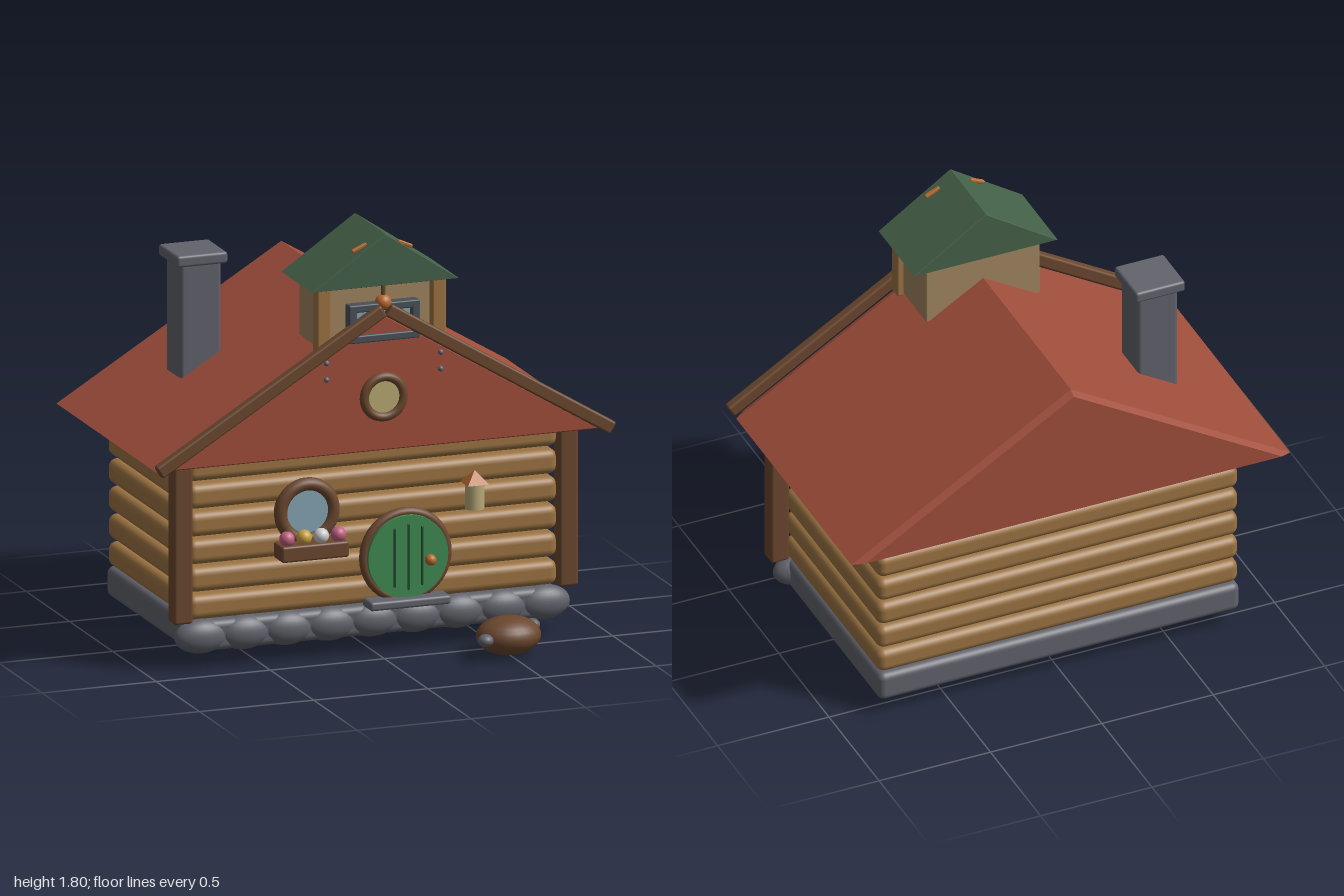
import * as THREE from 'three';
import { RoundedBoxGeometry } from 'three/addons/geometries/RoundedBoxGeometry.js';

const mats = {};
function mat(color) {
  return mats[color] ??= new THREE.MeshStandardMaterial({ color });
}
const RED = 0xa04e3b, GREEN = 0x456149, LOG = 0x9c7443, BEAM = 0x6b472e, STONE = 0x62636c,
  ORANGE = 0xb5692f, TAN = 0xa08560, SLATE = 0x4a5058, GLASS = 0x86a5b5;

export function createModel() {
  const model = new THREE.Group();

  function add(name, geo, color, x = 0, y = 0, z = 0) {
    const m = new THREE.Mesh(geo, mat(color));
    m.name = name;
    m.position.set(x, y, z);
    model.add(m);
    return m;
  }
  // Rounded box given by its extents on each axis
  function block(name, color, [x0, x1], [y0, y1], [z0, z1], r = 0.01) {
    const geo = new RoundedBoxGeometry(x1 - x0, y1 - y0, z1 - z0, 3, r);
    return add(name, geo, color, (x0 + x1) / 2, (y0 + y1) / 2, (z0 + z1) / 2);
  }
  function ball(name, color, x, y, z, rx, ry = rx, rz = rx) {
    const m = add(name, new THREE.SphereGeometry(1, 24, 16), color, x, y, z);
    m.scale.set(rx, ry, rz);
    return m;
  }
  function disc(name, color, x, y, z, r, depth) {
    const geo = new THREE.CylinderGeometry(r, r, depth, 40).rotateX(Math.PI / 2);
    return add(name, geo, color, x, y, z);
  }
  function ring(name, color, x, y, z, r, tube) {
    return add(name, new THREE.TorusGeometry(r, tube, 12, 40), color, x, y, z);
  }
  // Gable prism with chamfered ends
  function gable(name, color, w, y0, y1, z0, z1, bevel) {
    const shape = new THREE.Shape([
      new THREE.Vector2(-w, y0), new THREE.Vector2(w, y0), new THREE.Vector2(0, y1)]);
    const geo = new THREE.ExtrudeGeometry(shape, { depth: 3, steps: 3, bevelEnabled: false });
    const p = geo.attributes.position;
    const layers = [z0, z0 + bevel, z1 - bevel, z1];
    const cy = y0 + (y1 - y0) * 0.4;
    const k = 1 - bevel / (y1 - y0);
    for (let i = 0; i < p.count; i++) {
      const step = Math.round(p.getZ(i));
      const s = step === 0 || step === 3 ? k : 1;
      p.setXYZ(i, p.getX(i) * s, cy + (p.getY(i) - cy) * s, layers[step]);
    }
    geo.computeVertexNormals();
    return add(name, geo, color);
  }

  // Foundation slab and row of front stones
  block('foundation', STONE, [-0.81, 0.81], [0.075, 0.205], [-0.585, 0.39], 0.03);
  for (let i = -4; i <= 4; i++) ball('foundationStone', STONE, i * 0.1875, 0.138, 0.355, 0.115, 0.073, 0.06);

  // Log walls
  for (let i = 0; i < 6; i++) {
    const y = 0.207 + i * 0.1175;
    block('wallLog', LOG, [-0.81, 0.81], [y, y + 0.106], [-0.575, 0.375], 0.035);
  }
  for (const s of [-1, 1]) {
    block('cornerPost', BEAM, s < 0 ? [-0.885, -0.803] : [0.803, 0.885], [0.207, 0.89], [0.328, 0.41], 0.012);
  }

  // Main roof, gable boards and nail heads
  gable('mainRoof', RED, 0.985, 0.88, 1.475, -0.72, 0.49, 0.03);
  for (const s of [-1, 1]) {
    const board = add('gableBoard', new RoundedBoxGeometry(1.15, 0.056, 0.042, 3, 0.01), BEAM, s * 0.502, 1.19, 0.508);
    board.rotation.z = -s * 0.546;
    for (const y of [1.21, 1.28]) ball('nailHead', STONE, s * 0.25, y, 0.49, 0.012);
  }

  // Attic window
  ring('atticWindowFrame', BEAM, 0, 1.115, 0.49, 0.085, 0.02);
  disc('atticWindowGlass', 0xb8aa72, 0, 1.115, 0.49, 0.075, 0.012);

  // Chimney
  block('chimney', STONE, [-0.642, -0.465], [1.0, 1.58], [-0.332, -0.155], 0.015);
  block('chimneyCap', STONE, [-0.665, -0.443], [1.563, 1.612], [-0.358, -0.137], 0.012);

  // Dormer tower
  block('towerBody', TAN, [-0.255, 0.255], [1.325, 1.6], [0.185, 0.435], 0.005);
  for (const s of [-1, 1]) {
    block('towerPost', LOG, s < 0 ? [-0.282, -0.222] : [0.222, 0.282], [1.315, 1.605], [0.412, 0.472], 0.008);
    // Small clips lying on the tower roof slope
    const clip = add('roofClip', new RoundedBoxGeometry(0.07, 0.016, 0.018, 2, 0.005), ORANGE, s * 0.1, 1.75, 0.47);
    clip.rotation.z = -s * 0.42;
  }
  gable('towerRoof', GREEN, 0.322, 1.592, 1.81, 0.155, 0.515, 0.004);

  // Tower window with its lamp
  for (const y of [1.37, 1.5]) block('towerWindowRail', SLATE, [-0.155, 0.155], [y - 0.016, y + 0.016], [0.455, 0.505], 0.006);
  for (const x of [-0.138, 0.138]) block('towerWindowSide', SLATE, [x - 0.017, x + 0.017], [1.356, 1.515], [0.455, 0.505], 0.006);
  block('towerWindowGlass', GLASS, [-0.13, 0.13], [1.37, 1.5], [0.43, 0.475], 0.004);
  ball('lampBall', ORANGE, 0, 1.515, 0.485, 0.034);
  add('lampRod', new THREE.CylinderGeometry(0.01, 0.01, 0.1, 10), BEAM, 0, 1.57, 0.485);

  // Round window with flower box
  ring('roundWindowFrame', BEAM, -0.295, 0.63, 0.38, 0.115, 0.028);
  disc('roundWindowGlass', GLASS, -0.295, 0.63, 0.38, 0.1, 0.02);
  block('flowerBox', BEAM, [-0.442, -0.148], [0.447, 0.515], [0.38, 0.487], 0.01);
  [0xc0607f, 0xc9a040, 0xd0d0cc, 0xc0607f].forEach((c, i) => ball('flower', c, -0.41 + i * 0.075, 0.541, 0.455, 0.032));

  // Round door
  ring('doorFrame', BEAM, 0.135, 0.405, 0.385, 0.182, 0.02);
  disc('door', 0x3f8a50, 0.135, 0.405, 0.395, 0.175, 0.05);
  for (const dx of [-0.06, 0, 0.06]) {
    const h = dx ? 0.125 : 0.14;
    block('doorGroove', 0x234a2c, [0.13 + dx, 0.14 + dx], [0.405 - h, 0.405 + h], [0.41, 0.426], 0.003);
  }
  ball('doorKnob', ORANGE, 0.228, 0.385, 0.432, 0.024);
  block('doorStep', STONE, [-0.045, 0.308], [0.197, 0.235], [0.36, 0.462], 0.012);

  // Wall lantern
  add('lantern', new THREE.CylinderGeometry(0.04, 0.04, 0.11, 20), 0xb8aa7a, 0.425, 0.637, 0.42);
  const cap = add('lanternCap', new THREE.ConeGeometry(0.066, 0.055, 4, 1).toNonIndexed(), ORANGE, 0.425, 0.717, 0.42);
  cap.geometry.computeVertexNormals();
  cap.rotation.y = Math.PI / 4;

  // Boulder with two pebbles
  ball('boulder', BEAM, 0.502, 0.085, 0.607, 0.137, 0.08, 0.115);
  ball('pebble', STONE, 0.37, 0.095, 0.692, 0.033, 0.026, 0.033);
  ball('pebble', STONE, 0.637, 0.095, 0.525, 0.033, 0.026, 0.033);

  return model;
}
